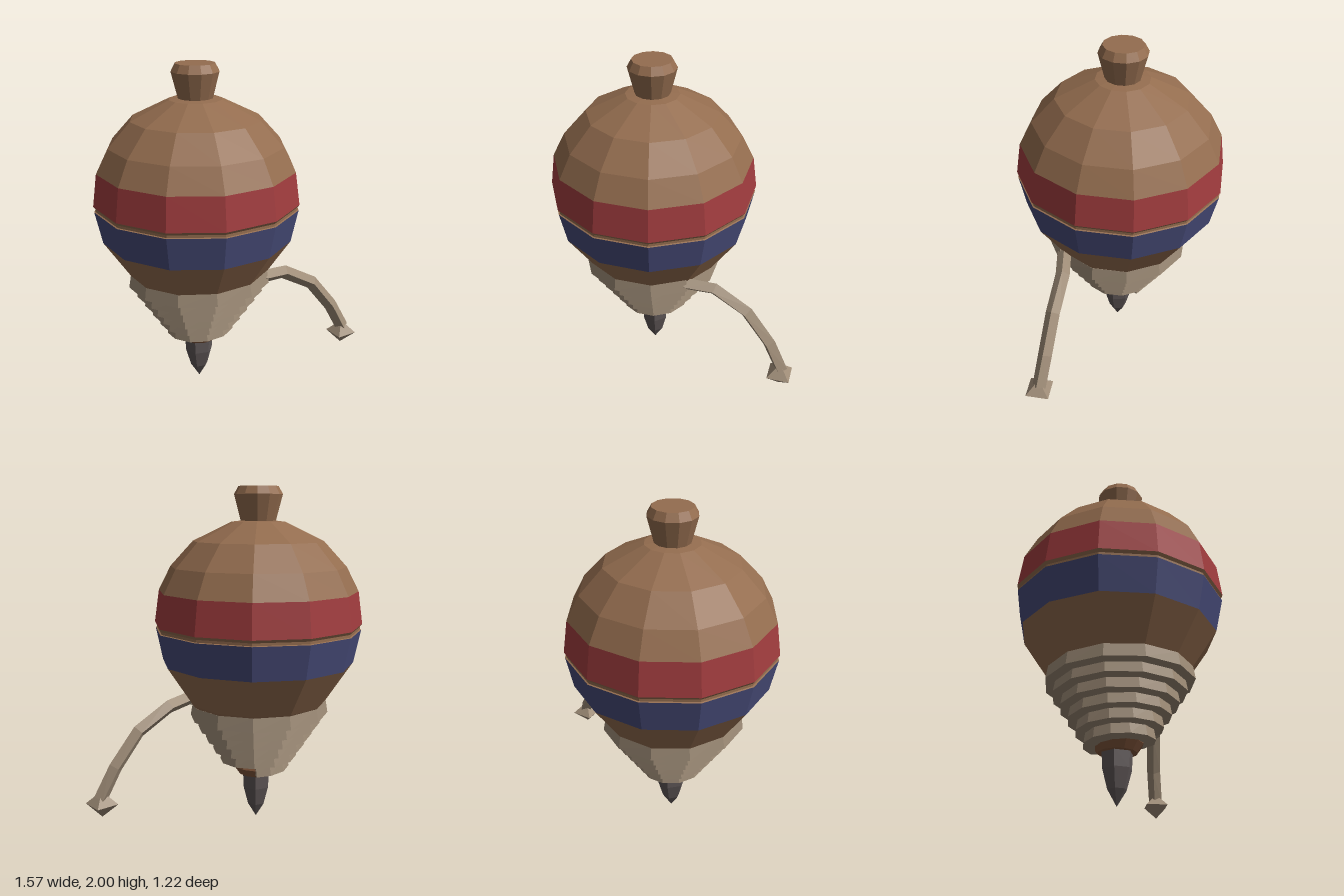
import * as THREE from 'three';

const CX = -0.175; // axis of the spinning body

function material(name, color) {
  const m = new THREE.MeshStandardMaterial({ color, flatShading: true });
  m.name = name;
  return m;
}

// Faceted surface of revolution, profile listed from bottom to top as [radius, y]
function turned(name, profile, sides, mat) {
  const points = profile.map(([r, y]) => new THREE.Vector2(r, y));
  const geometry = new THREE.LatheGeometry(points, sides).toNonIndexed();
  geometry.computeVertexNormals();
  const mesh = new THREE.Mesh(geometry, mat);
  mesh.name = name;
  mesh.position.x = CX;
  return mesh;
}

// Square rope swept along points; the section keeps one axis horizontal
function rope(name, points, radius, turn, mat) {
  const positions = [];
  const index = [];
  const up = new THREE.Vector3(0, 1, 0);
  const last = points.length - 1;
  points.forEach((p, i) => {
    const t = points[Math.min(i + 1, last)].clone().sub(points[Math.max(i - 1, 0)]).normalize();
    const s = t.clone().cross(up).normalize();
    const u = s.clone().cross(t);
    for (let k = 0; k < 4; k++) {
      const a = turn + (k * Math.PI) / 2;
      const v = p.clone()
        .addScaledVector(s, Math.cos(a) * radius)
        .addScaledVector(u, Math.sin(a) * radius);
      positions.push(v.x, v.y, v.z);
    }
  });
  for (let i = 0; i < last; i++) {
    for (let k = 0; k < 4; k++) {
      const a = i * 4 + k, d = i * 4 + ((k + 1) % 4);
      index.push(a, a + 4, d + 4, a, d + 4, d);
    }
  }
  const e = last * 4;
  index.push(0, 1, 2, 0, 2, 3, e, e + 2, e + 1, e, e + 3, e + 2);
  let geometry = new THREE.BufferGeometry();
  geometry.setAttribute('position', new THREE.Float32BufferAttribute(positions, 3));
  geometry.setIndex(index);
  geometry = geometry.toNonIndexed();
  geometry.computeVertexNormals();
  const mesh = new THREE.Mesh(geometry, mat);
  mesh.name = name;
  return mesh;
}

export function createModel() {
  const model = new THREE.Group();
  model.name = 'spinningTop';

  const wood = material('wood', 0x946d4f);
  const darkWood = material('collarWood', 0x83573c);
  const red = material('redPaint', 0xa03c3e);
  const blue = material('bluePaint', 0x474b78);
  const cord = material('cord', 0x9e8c77);
  const metal = material('metal', 0x5f5757);

  // Body, from the lower cone up to the dome
  model.add(
    turned('lowerBody', [[0.1, 0.36], [0.13, 0.36], [0.36, 0.7], [0.41, 0.75], [0.567, 0.985]], 12, wood),
    turned('blueBand', [[0.567, 0.985], [0.608, 1.18]], 12, blue),
    turned('groove', [[0.608, 1.18], [0.6, 1.183], [0.6, 1.198], [0.612, 1.214]], 12, wood),
    turned('redBand', [[0.612, 1.214], [0.585, 1.405]], 12, red),
    turned('dome', [[0.585, 1.405], [0.513, 1.545], [0.38, 1.69], [0.155, 1.8], [0, 1.818]], 12, wood),
    turned('knob', [[0.1, 1.8], [0.14, 1.955], [0.115, 2], [0, 2]], 12, wood)
  );

  // Collar and spinning tip
  model.add(
    turned('collar', [[0, 0.29], [0.11, 0.29], [0.145, 0.34], [0.12, 0.4]], 12, darkWood),
    turned('tip', [[0, 0], [0.055, 0.09], [0.085, 0.2], [0.09, 0.295], [0, 0.295]], 6, metal)
  );

  // Cord wound up the lower cone
  const turns = 5.75;
  const steps = turns * 12;
  const coil = [];
  for (let i = 0; i <= steps; i++) {
    const f = i / steps;
    const a = Math.PI + f * turns * Math.PI * 2;
    const r = 0.139 + 0.261 * f;
    coil.push(new THREE.Vector3(CX + r * Math.sin(a), 0.35 + 0.395 * f, r * Math.cos(a)));
  }
  model.add(rope('woundCord', coil, 0.058, Math.PI / 4 + 0.17, cord));

  // Loose end of the cord with its knot
  const tail = [
    [0.23, 0.745, 0.01], [0.337, 0.725, -0.135], [0.495, 0.61, -0.27],
    [0.615, 0.42, -0.365], [0.695, 0.245, -0.415]
  ].map((p) => new THREE.Vector3(...p));
  model.add(rope('looseCord', tail, 0.042, 0, cord));

  const knot = new THREE.Mesh(new THREE.OctahedronGeometry(0.095), cord);
  knot.name = 'cordKnot';
  knot.scale.y = 0.82;
  knot.position.set(0.69, 0.213, -0.407);
  model.add(knot);

  return model;
}
